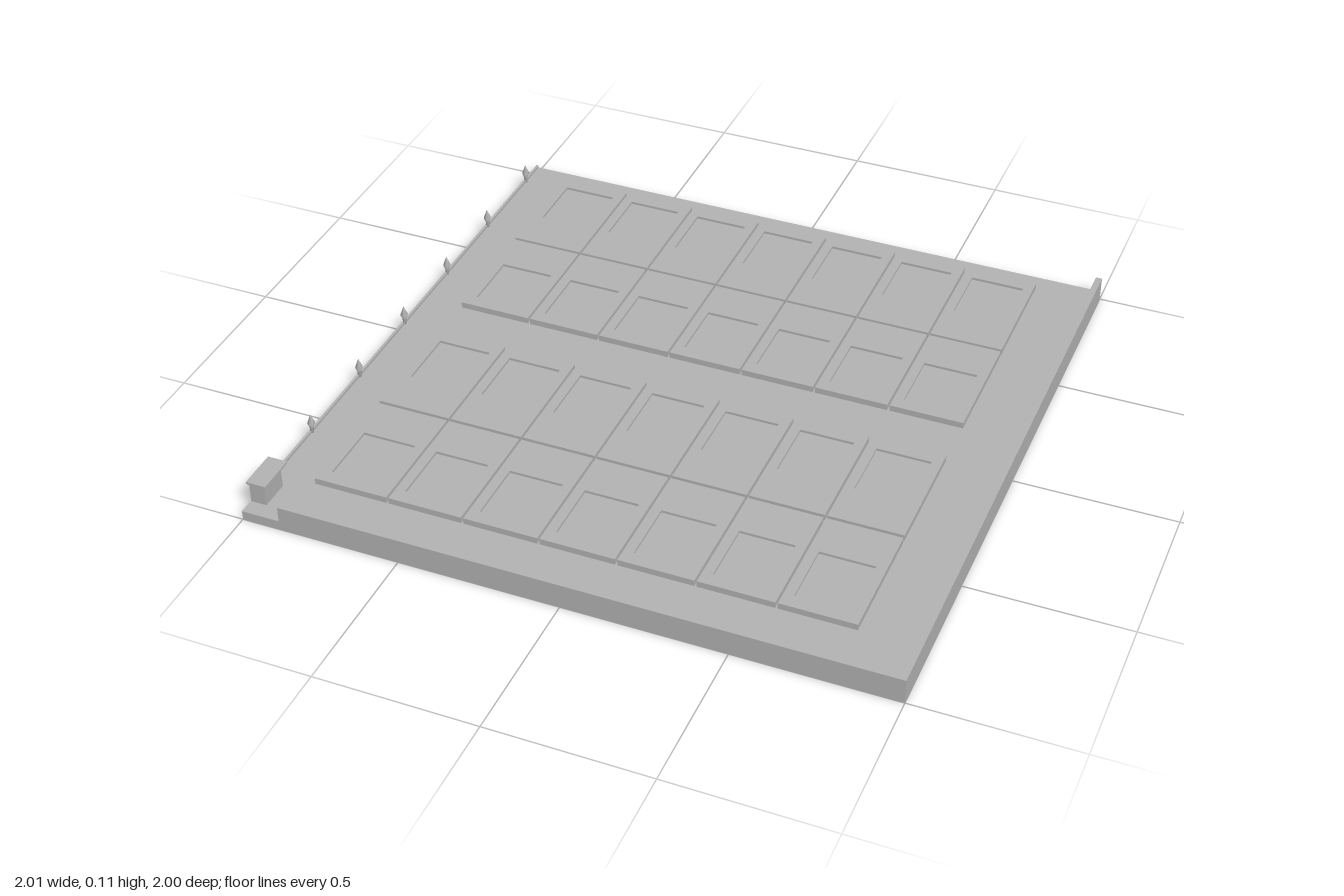
import * as THREE from 'three';

export function createModel() {
  const model = new THREE.Group();
  const concrete = new THREE.MeshStandardMaterial({ color: 0xb4b4b4 });
  concrete.name = 'concrete grey';

  const add = (name, geometry, parent = model) => {
    const mesh = new THREE.Mesh(geometry, concrete);
    mesh.name = name;
    parent.add(mesh);
    return mesh;
  };
  // box given by its lower and upper limits on each axis
  const box = (name, x0, x1, y0, y1, z0, z1, parent) => {
    const mesh = add(name, new THREE.BoxGeometry(x1 - x0, y1 - y0, z1 - z0), parent);
    mesh.position.set((x0 + x1) / 2, (y0 + y1) / 2, (z0 + z1) / 2);
    return mesh;
  };

  // ground slab with walls along the front and the left
  box('groundSlab', -1, 1, 0, 0.03, -1, 1);
  box('frontWall', -0.88, 1, 0.03, 0.08, 0.98, 1);
  box('sideWall', 0.98, 1, 0.03, 0.08, -1, 0.98);

  // low kerb and pointed posts along the open side
  box('kerb', -1, -0.992, 0.03, 0.038, -1, 0.82);
  const postProfile = [[0, 0], [0.006, 0], [0.006, 0.02], [0.012, 0.035], [0, 0.067]]
    .map(([r, y]) => new THREE.Vector2(r, y));
  const postGeometry = new THREE.LatheGeometry(postProfile, 8);
  for (let i = 0; i < 6; i++) {
    add('fencePost', postGeometry).position.set(-0.993, 0.03, -0.9 + i * 0.3);
  }

  // small booth beside the entrance
  const booth = new THREE.Group();
  booth.name = 'booth';
  model.add(booth);
  box('boothBody', -0.998, -0.948, 0.03, 0.102, 0.855, 0.95, booth);
  box('boothRoof', -1, -0.937, 0.102, 0.109, 0.835, 0.962, booth);

  // plots: thin plates, each with a shallow square recess near its outer end
  const pitch = 0.2392, width = 0.232, depth = 0.39;
  const plotGeometry = (shift) => {
    const rect = (path, w, d, cy) => path
      .moveTo(-w / 2, cy - d / 2).lineTo(w / 2, cy - d / 2)
      .lineTo(w / 2, cy + d / 2).lineTo(-w / 2, cy + d / 2).closePath();
    const shape = rect(new THREE.Shape(), width, depth, 0);
    shape.holes.push(rect(new THREE.Path(), 0.17, 0.2, -shift));
    const geometry = new THREE.ExtrudeGeometry(shape, { depth: 0.008, bevelEnabled: false });
    return geometry.rotateX(-Math.PI / 2);
  };
  const rows = [[-0.742, -0.05], [-0.342, 0.05], [0.215, -0.05], [0.616, 0.05]];
  for (const [z, shift] of rows) {
    const rim = plotGeometry(shift);
    for (let i = 0; i < 7; i++) {
      const x = -0.865 + width / 2 + i * pitch;
      box('plotBase', x - width / 2, x + width / 2, 0.03, 0.042, z - depth / 2, z + depth / 2);
      add('plotRim', rim).position.set(x, 0.042, z);
    }
  }
  return model;
}
